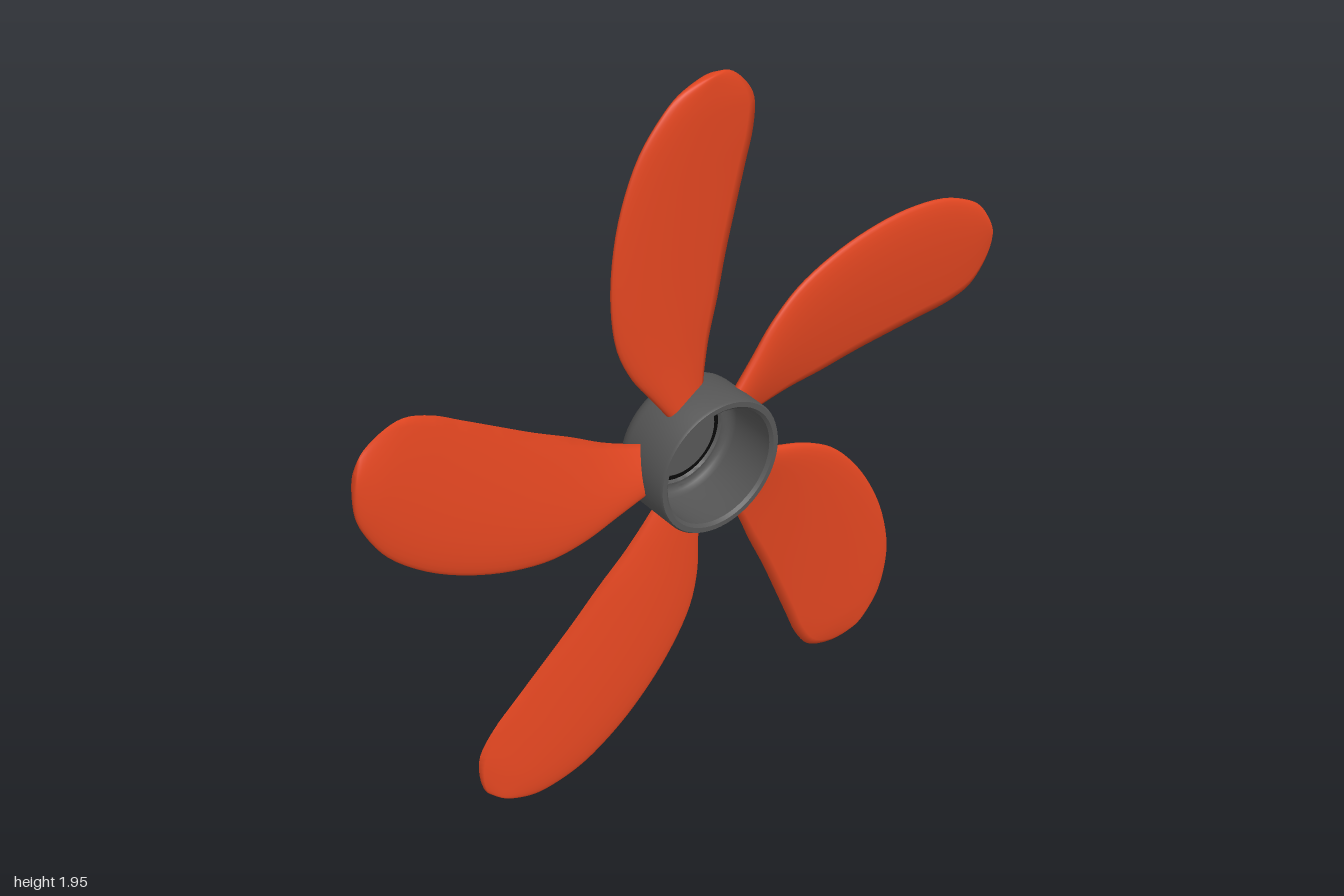
import * as THREE from 'three';
import { toCreasedNormals } from 'three/addons/utils/BufferGeometryUtils.js';

const HUB_X = -0.015, HUB_Y = 0.89, BLADES = 5;

// Left and right edge of one upright blade, from root to tip, relative to the hub centre
const LEFT_EDGE = [[-0.1, 0.15], [-0.155, 0.23], [-0.21, 0.31], [-0.253, 0.41], [-0.268, 0.53], [-0.26, 0.66],
  [-0.23, 0.79], [-0.175, 0.91], [-0.11, 0.985], [-0.06, 1.022], [0.005, 1.042], [0.055, 1.046]];
const RIGHT_EDGE = [[0.03, 0.175], [0.037, 0.24], [0.05, 0.32], [0.075, 0.42], [0.1, 0.54], [0.13, 0.66],
  [0.158, 0.77], [0.18, 0.86], [0.181, 0.94], [0.15, 0.995], [0.1, 1.038], [0.055, 1.046]];

const edgeCurve = (pts) => new THREE.CatmullRomCurve3(pts.map(([x, y]) => new THREE.Vector3(x, y, 0)));

// Blade: aerofoil sections lofted between the two edges, tilted slightly and thinning at the tip
function bladeGeometry(rows = 44, sides = 28) {
  const left = edgeCurve(LEFT_EDGE), right = edgeCurve(RIGHT_EDGE);
  const pos = [], idx = [];
  for (let j = 0; j <= rows; j++) {
    const s = j / rows;
    const L = left.getPoint(s), R = right.getPoint(s);
    const half = 0.021 * Math.sqrt(1 - s ** 4);
    const tilt = 1 - s ** 3;
    for (let i = 0; i < sides; i++) {
      const t = (i / sides) * Math.PI * 2;
      const u = ((1 - Math.cos(t)) / 2) ** 0.6;
      const p = R.clone().lerp(L, u);
      const z = (-0.012 + 0.028 * u) * tilt + half * Math.sin(t);
      pos.push(p.x, p.y, z);
    }
  }
  for (let j = 0; j < rows; j++) {
    for (let i = 0; i < sides; i++) {
      const k = (i + 1) % sides;
      const a = j * sides + i, b = j * sides + k;
      idx.push(a, a + sides, b, b, a + sides, b + sides);
    }
  }
  const g = new THREE.BufferGeometry();
  g.setAttribute('position', new THREE.Float32BufferAttribute(pos, 3));
  g.setIndex(idx);
  g.computeVertexNormals();
  return g;
}

// Revolves a (radius, z) profile about the z axis
function turned(profile) {
  const g = new THREE.LatheGeometry(profile.map(([r, z]) => new THREE.Vector2(r, z)), 64);
  g.rotateX(Math.PI / 2);
  return toCreasedNormals(g, 0.6);
}

// Points along a quarter arc in the (radius, z) plane
function arc(cr, cz, rad, from, to, n = 6) {
  return Array.from({ length: n + 1 }, (_, i) => {
    const a = from + ((to - from) * i) / n;
    return [cr + rad * Math.cos(a), cz + rad * Math.sin(a)];
  });
}

export function createModel() {
  const model = new THREE.Group();
  model.name = 'propeller';
  model.position.set(HUB_X, HUB_Y, 0);
  const material = (color) => new THREE.MeshStandardMaterial({ color, side: THREE.DoubleSide });
  const red = material(0xe04520), grey = material(0x555555), black = material(0x080808);

  const add = (name, geometry, mat) => {
    const mesh = new THREE.Mesh(geometry, mat);
    mesh.name = name;
    model.add(mesh);
    return mesh;
  };

  // Hub: cup with a rounded back, open to the front, with a round hole in its floor
  const H = Math.PI / 2;
  add('hub', turned([
    [0.124, -0.07], [0.124, -0.092], [0.132, -0.1],
    ...arc(0.14, -0.05, 0.05, -H, 0),
    [0.19, 0.094], [0.186, 0.1], [0.172, 0.1], [0.164, 0.092],
    ...arc(0.14, -0.04, 0.024, 0, -H, 4),
    [0.132, -0.062], [0.124, -0.07],
  ]), grey);

  // Dark seal ring and the shaft disc sitting inside it
  add('sealRing', turned([
    [0.108, -0.09], [0.125, -0.09], [0.125, -0.068], [0.108, -0.068], [0.108, -0.09],
  ]), black);
  add('shaftDisc', turned([
    [0, -0.095], [0.108, -0.095], [0.112, -0.091], [0.112, -0.067], [0.108, -0.063], [0, -0.063],
  ]), grey);

  // Blades
  const blade = bladeGeometry();
  for (let i = 0; i < BLADES; i++) {
    add(`blade${i + 1}`, blade, red).rotation.z = (-i * Math.PI * 2) / BLADES;
  }
  return model;
}
